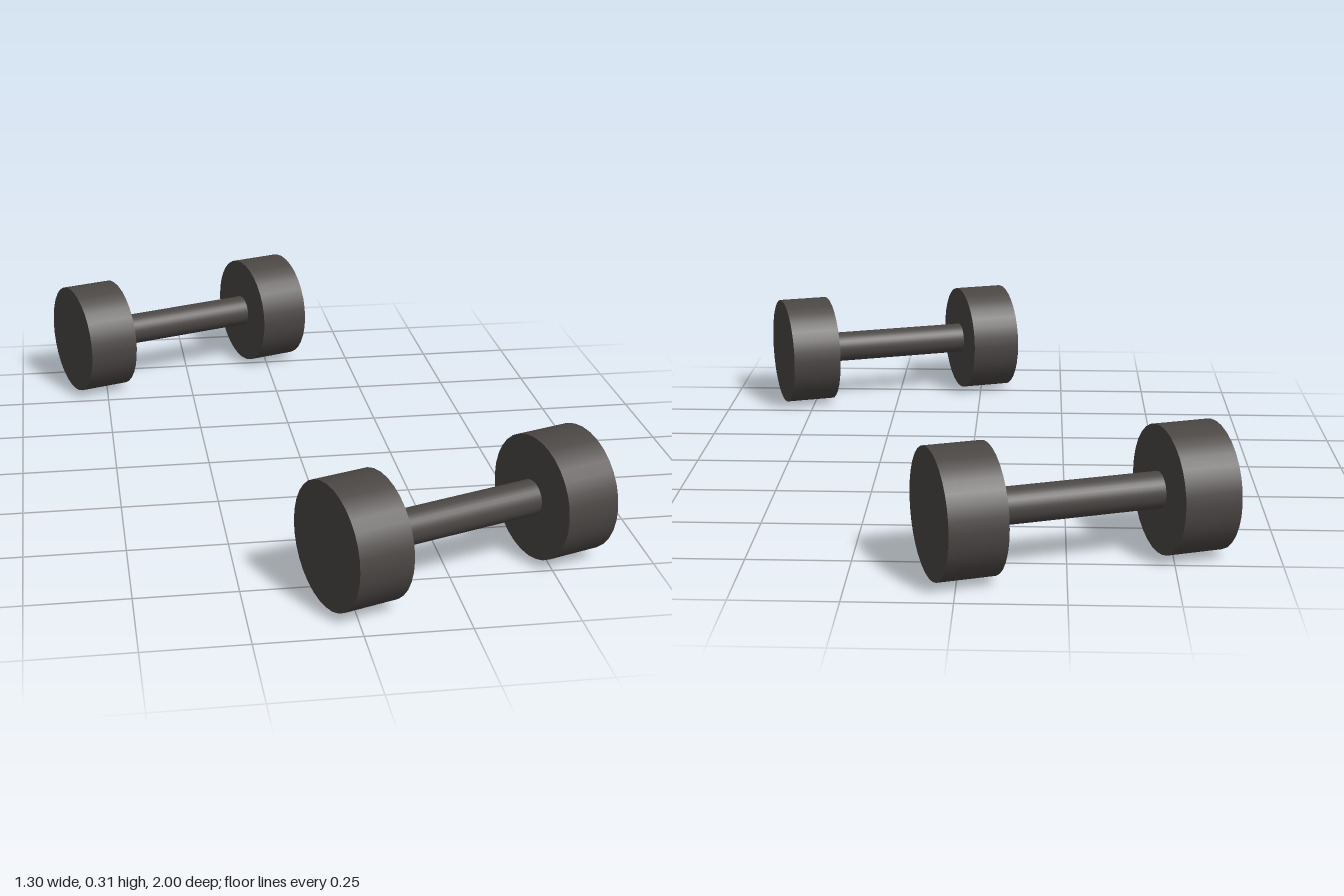
import * as THREE from 'three';

const RADIUS = 0.155, THICKNESS = 0.14, SPACING = 0.561, BAR_RADIUS = 0.044;

// Cylinder lying along the x axis
function xCylinder(name, radius, length, x, material) {
  const geometry = new THREE.CylinderGeometry(radius, radius, length, 32);
  geometry.rotateZ(Math.PI / 2);
  const mesh = new THREE.Mesh(geometry, material);
  mesh.name = name;
  mesh.position.x = x;
  return mesh;
}

// Two round weights joined by a grip bar
function createDumbbell(name, material) {
  const dumbbell = new THREE.Group();
  dumbbell.name = name;
  dumbbell.add(
    xCylinder('gripBar', BAR_RADIUS, SPACING - THICKNESS + 0.02, 0, material),
    xCylinder('rightWeight', RADIUS, THICKNESS, -SPACING / 2, material),
    xCylinder('leftWeight', RADIUS, THICKNESS, SPACING / 2, material)
  );
  return dumbbell;
}

export function createModel() {
  const model = new THREE.Group();
  model.name = 'dumbbellPair';
  const iron = new THREE.MeshStandardMaterial({ color: 0x4a4644 });
  iron.name = 'dark iron';

  // Parallel pair, turned 20 degrees and offset diagonally
  for (const [name, side] of [['frontDumbbell', 1], ['backDumbbell', -1]]) {
    const dumbbell = createDumbbell(name, iron);
    dumbbell.position.set(side * 0.266, RADIUS, side * 0.734);
    dumbbell.rotation.y = THREE.MathUtils.degToRad(20);
    model.add(dumbbell);
  }
  return model;
}
